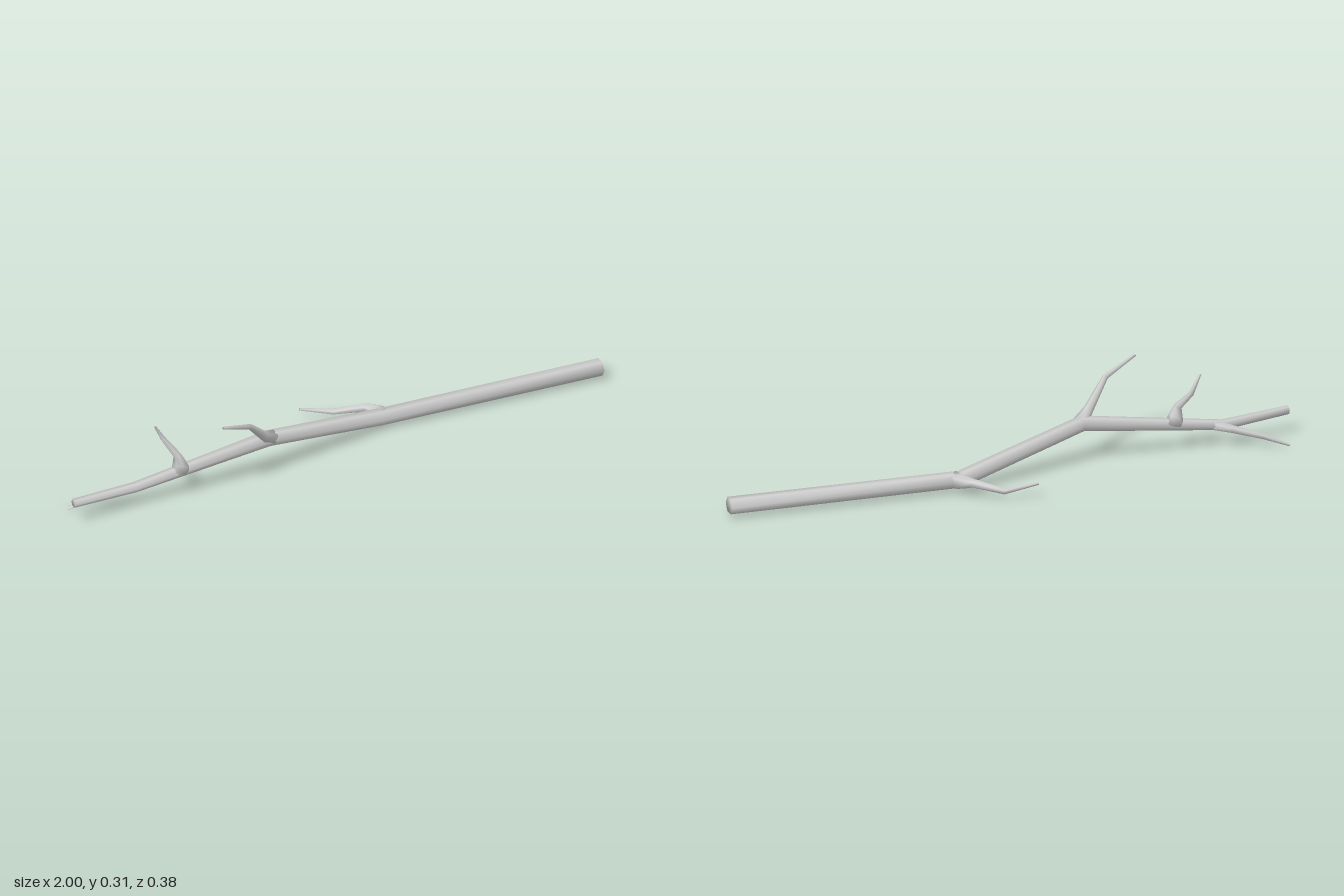
import * as THREE from 'three';

const SIDES = 6;
const material = new THREE.MeshStandardMaterial({ color: 0xcccccc });

// Lofts a closed six-sided limb through stations of [x, y, z, radius].
// ref points at the first corner of each ring; endDir fixes the angle of the two end cuts.
function limb(name, stations, ref, endDir) {
  const pts = stations.map(([x, y, z]) => new THREE.Vector3(x, y, z));
  const last = pts.length - 1;
  const dir = (i) => pts[i + 1].clone().sub(pts[i]).normalize();
  const pos = [];
  const index = [];
  pts.forEach((p, i) => {
    let t;
    if (i === 0) t = endDir ? endDir.clone() : dir(0);
    else if (i === last) t = endDir ? endDir.clone() : dir(last - 1);
    else t = dir(i - 1).add(dir(i)).normalize();
    const u = ref.clone().addScaledVector(t, -ref.dot(t)).normalize();
    const v = t.clone().cross(u);
    for (let j = 0; j < SIDES; j++) {
      const a = (j / SIDES) * Math.PI * 2;
      const q = p.clone()
        .addScaledVector(u, Math.cos(a) * stations[i][3])
        .addScaledVector(v, Math.sin(a) * stations[i][3]);
      pos.push(q.x, q.y, q.z);
    }
  });
  for (let i = 0; i < last; i++) {
    for (let j = 0; j < SIDES; j++) {
      const k = (j + 1) % SIDES;
      const a = i * SIDES + j, b = i * SIDES + k;
      index.push(a, b, a + SIDES, b, b + SIDES, a + SIDES);
    }
  }
  // End caps
  const e = last * SIDES;
  for (let j = 1; j < SIDES - 1; j++) {
    index.push(0, j + 1, j, e, e + j, e + j + 1);
  }
  const geo = new THREE.BufferGeometry();
  geo.setAttribute('position', new THREE.Float32BufferAttribute(pos, 3));
  geo.setIndex(index);
  geo.computeVertexNormals();
  const mesh = new THREE.Mesh(geo, material);
  mesh.name = name;
  return mesh;
}

export function createModel() {
  const group = new THREE.Group();
  group.name = 'branch';
  const Y = new THREE.Vector3(0, 1, 0);
  const Z = new THREE.Vector3(0, 0, 1);

  // Main stem, thick end at +x
  group.add(limb('mainStem', [
    [1, 0.046, 0.03, 0.03],
    [0.2, 0.046, -0.029, 0.029],
    [-0.27, 0.143, 0.063, 0.027],
    [-0.76, 0.077, 0.036, 0.018],
    [-1, 0.09, 0.052, 0.015],
  ], Z, new THREE.Vector3(-1, 0, 0)));

  // Twig reaching back from the first bend
  group.add(limb('backTwig', [
    [0.215, 0.046, -0.03, 0.031],
    [0.205, 0.05, -0.06, 0.025],
    [0.18, 0.054, -0.095, 0.016],
    [0.09, 0.033, -0.153, 0.011],
    [-0.02, 0.057, -0.184, 0.005],
  ], Y));

  // Twig reaching up and forward from the second bend
  group.add(limb('frontTwig', [
    [-0.26, 0.143, 0.063, 0.027],
    [-0.305, 0.178, 0.093, 0.017],
    [-0.385, 0.262, 0.146, 0.01],
    [-0.505, 0.309, 0.183, 0.005],
  ], Y));

  // Upright twig with a kink
  group.add(limb('upperTwig', [
    [-0.59, 0.1, 0.045, 0.032],
    [-0.597, 0.13, 0.046, 0.024],
    [-0.605, 0.162, 0.047, 0.014],
    [-0.638, 0.216, 0.009, 0.009],
    [-0.674, 0.276, 0.02, 0.004],
  ], Z));

  // Low twig forking off near the thin end
  group.add(limb('tipTwig', [
    [-0.73, 0.08, 0.036, 0.018],
    [-0.79, 0.064, 0.016, 0.014],
    [-0.88, 0.042, -0.028, 0.01],
    [-0.966, 0.006, -0.05, 0.004],
  ], Y));

  return group;
}
